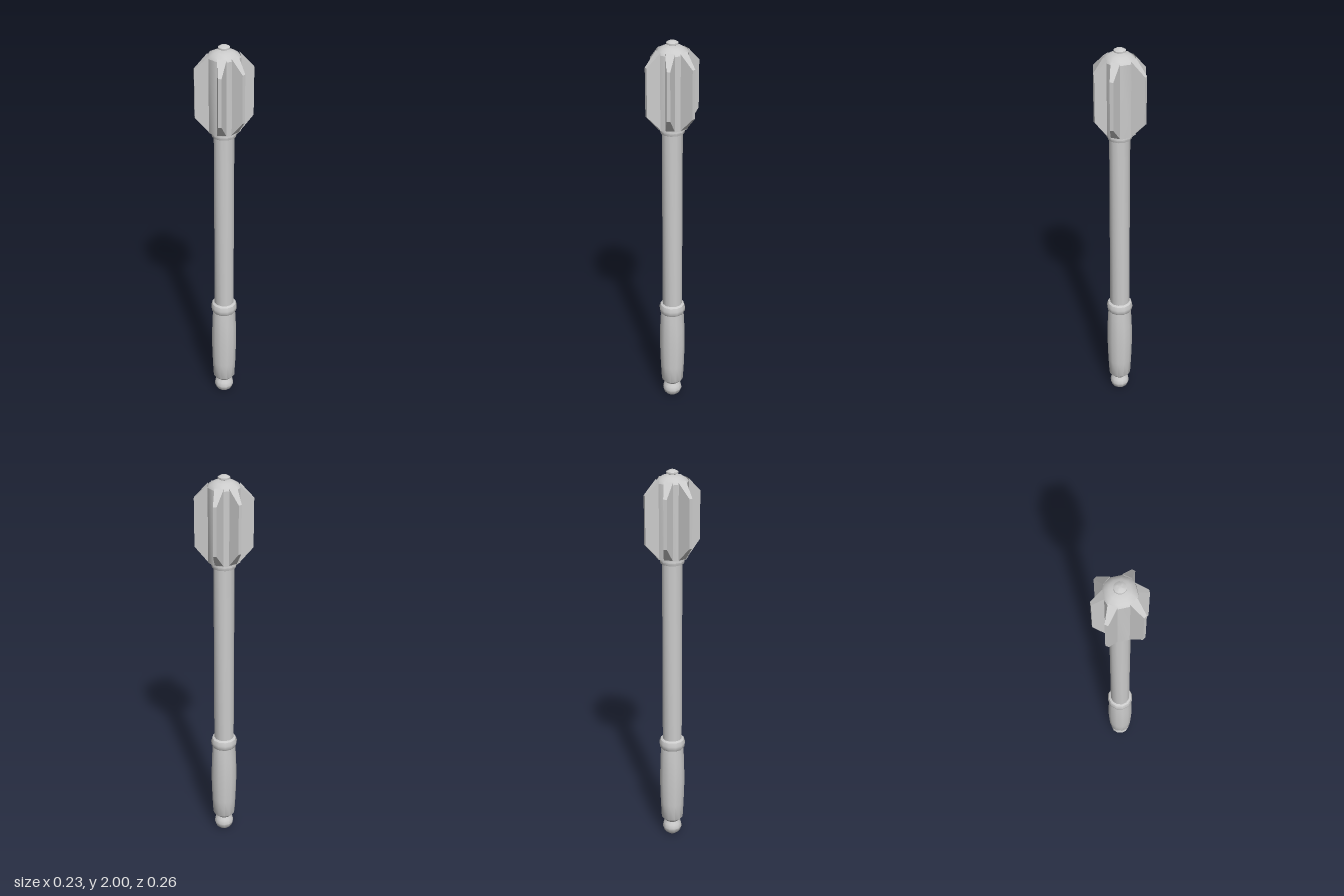
import * as THREE from 'three';
import { toCreasedNormals } from 'three/addons/utils/BufferGeometryUtils.js';

const material = new THREE.MeshStandardMaterial({ color: 0xcccccc });

function addMesh(group, name, geometry) {
  const mesh = new THREE.Mesh(geometry, material);
  mesh.name = name;
  group.add(mesh);
}

// Turned part: [radius, height] pairs from bottom to top
function turned(profile) {
  const points = profile.map(([r, y]) => new THREE.Vector2(r, y));
  return toCreasedNormals(new THREE.LatheGeometry(points, 12), 0.7);
}

// Head core: a domed column over a twelve-cornered outline, broad where a flange sits
function headCore() {
  const quarter = [[0.022, 0.073], [0.05, 0.063], [0.075, 0.025]];
  const half = [...quarter, ...quarter.map(([x, z]) => [x, -z]).reverse()];
  const outline = [...half, ...half.map(([x, z]) => [-x, -z])];
  const profile = [[0, 1.576], [1, 1.576], [1, 1.945], [0.87, 1.958], [0.62, 1.97], [0.3, 1.977], [0, 1.978]];
  const geo = new THREE.LatheGeometry(profile.map(([r, y]) => new THREE.Vector2(r, y)), 12);
  const pos = geo.attributes.position;
  for (let i = 0; i < pos.count; i++) {
    const [x, z] = outline[Math.floor(i / profile.length) % 12];
    const r = profile[i % profile.length][0];
    pos.setX(i, x * r);
    pos.setZ(i, z * r);
  }
  return toCreasedNormals(geo, 0.6);
}

// Flange: a block that narrows in width and height towards its tip
function flange(root, tip) {
  const geo = new THREE.BoxGeometry(1, 1, 1);
  const pos = geo.attributes.position;
  for (let i = 0; i < pos.count; i++) {
    const outer = pos.getX(i) > 0;
    const top = pos.getY(i) > 0;
    const y = outer ? (top ? 1.89 : 1.65) : (top ? 1.957 : 1.577);
    pos.setXYZ(i, outer ? tip : root, y, Math.sign(pos.getZ(i)) * (outer ? 0.0085 : 0.0225));
  }
  geo.computeVertexNormals();
  return geo;
}

export function createModel() {
  const model = new THREE.Group();
  model.name = 'flangedMace';

  // Handle
  addMesh(model, 'pommel', turned([[0, 0], [0.026, 0.002], [0.043, 0.018], [0.051, 0.042], [0.046, 0.066], [0.034, 0.082], [0.034, 0.09]]));
  addMesh(model, 'grip', turned([[0, 0.082], [0.036, 0.082], [0.058, 0.105], [0.063, 0.2], [0.067, 0.33], [0.065, 0.44], [0.06, 0.535]]));
  addMesh(model, 'gripRing', turned([[0.058, 0.528], [0.066, 0.54], [0.068, 0.56], [0.062, 0.58], [0.048, 0.588]]));
  addMesh(model, 'shaft', turned([[0.051, 0.56], [0.051, 1.56]]));

  // Head
  addMesh(model, 'collar', turned([[0.05, 1.543], [0.058, 1.546], [0.062, 1.56], [0.059, 1.574], [0.05, 1.58]]));
  addMesh(model, 'headCore', headCore());
  addMesh(model, 'finial', turned([[0.017, 1.97], [0.017, 1.979], [0.029, 1.984], [0.029, 1.991], [0.013, 2], [0, 2]]));

  // Six flanges: front, back and two pairs at the sides
  const flanges = new THREE.Group();
  flanges.name = 'flanges';
  for (const degrees of [37, 90, 143, 217, 270, 323]) {
    const onAxis = degrees % 90 === 0;
    const geo = onAxis ? flange(0.071, 0.128) : flange(0.074, 0.14);
    addMesh(flanges, 'flange', geo.rotateY(THREE.MathUtils.degToRad(degrees)));
  }
  model.add(flanges);
  return model;
}
